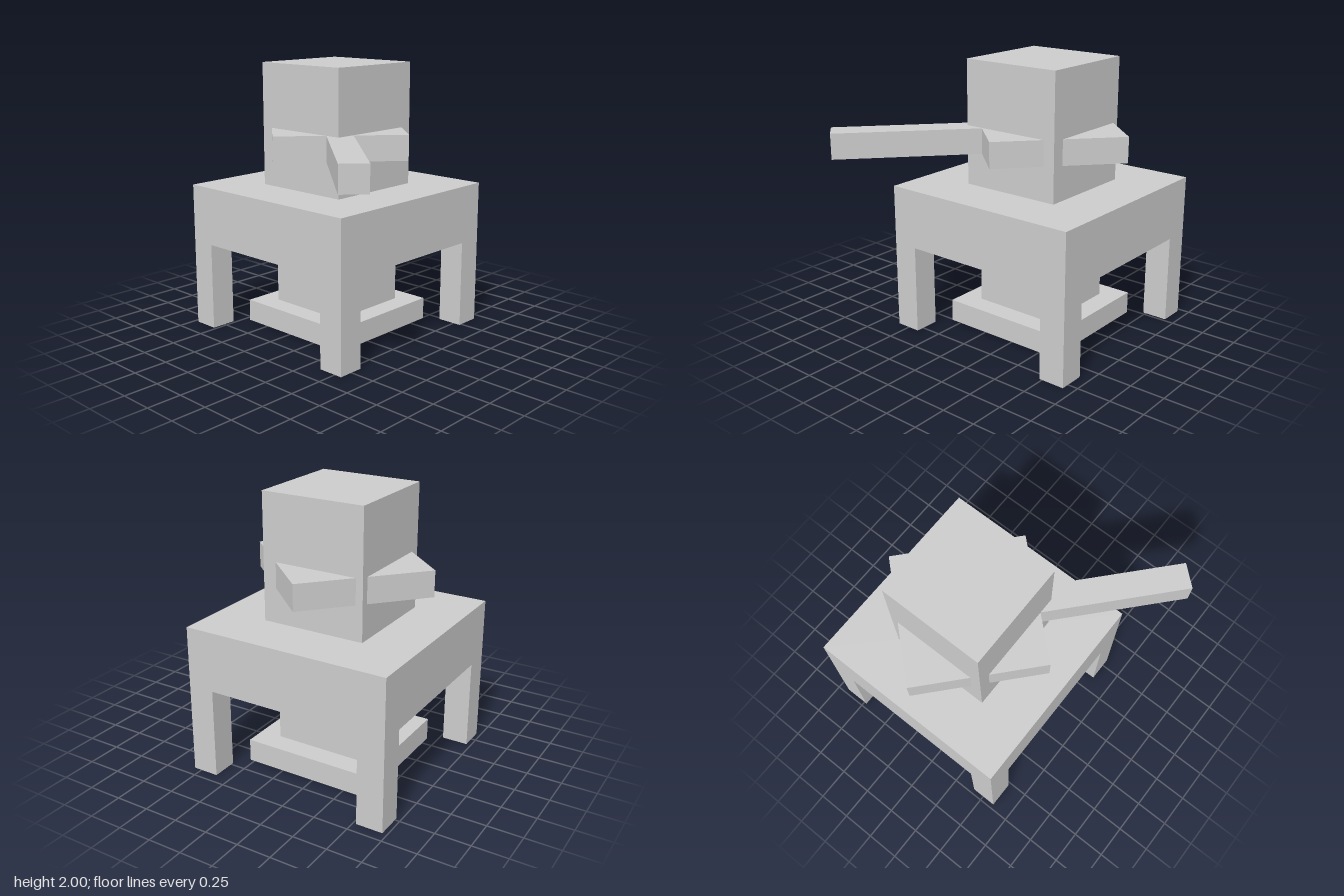
import * as THREE from 'three';

export function createModel() {
  const model = new THREE.Group();
  const material = new THREE.MeshStandardMaterial({ color: 0xcccccc, flatShading: true });

  // Box standing on height y0 and reaching y1
  function block(name, parent, width, depth, y0, y1, x = 0, z = 0) {
    const mesh = new THREE.Mesh(new THREE.BoxGeometry(width, y1 - y0, depth), material);
    mesh.name = name;
    mesh.position.set(x, (y0 + y1) / 2, z);
    parent.add(mesh);
  }

  // Square tower, off-centre because the long arm reaches to one side
  const tower = new THREE.Group();
  tower.name = 'tower';
  tower.position.set(0.16, 0, -0.204);
  model.add(tower);

  block('foot', tower, 0.955, 0.955, 0.01, 0.175);
  block('stem', tower, 0.64, 0.64, 0.175, 0.655);
  block('body', tower, 1.524, 1.524, 0.655, 1.09);
  block('head', tower, 0.764, 0.764, 1.09, 2);

  // Four corner legs, flush with the body's sides
  for (const sx of [-1, 1]) {
    for (const sz of [-1, 1]) {
      block('leg', tower, 0.193, 0.193, 0, 0.655, sx * 0.6655, sz * 0.6655);
    }
  }

  // Turned collar through the head, with its long arm
  const collar = new THREE.Group();
  collar.name = 'collar';
  collar.position.set(0.175, 0, -0.224);
  collar.rotation.y = -0.736;
  model.add(collar);

  block('collarPlate', collar, 0.953, 0.953, 1.34, 1.525);
  block('arm', collar, 0.19, 1.047, 1.34, 1.525, -0.008, 1.0);

  return model;
}
